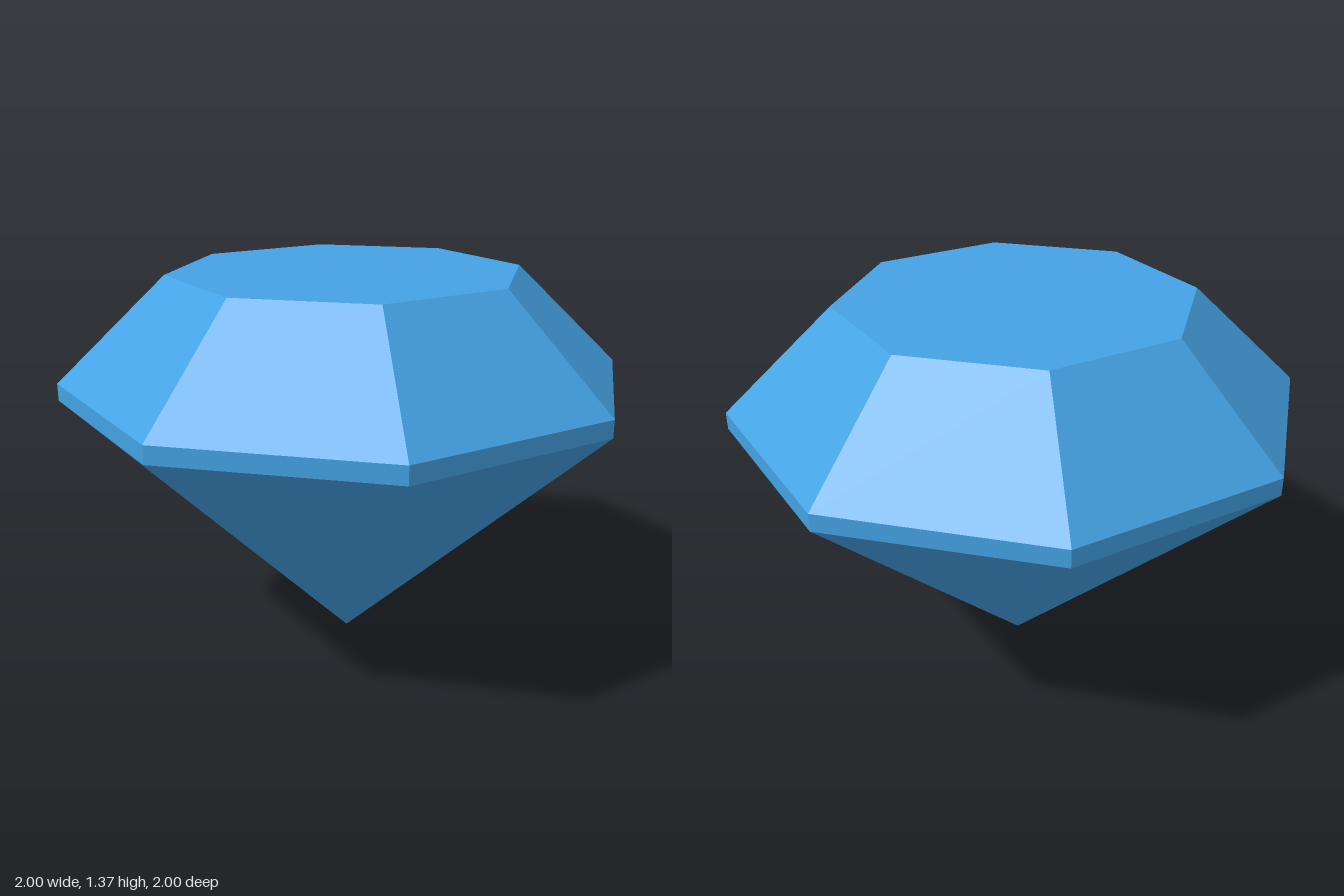
import * as THREE from 'three';

const SIDES = 8;

export function createModel() {
  const gem = new THREE.Group();
  gem.name = 'gem';
  const blue = new THREE.MeshStandardMaterial({ color: 0x44a2e4, flatShading: true });
  blue.name = 'gem blue';

  // One faceted ring between two heights
  function addRing(name, topRadius, bottomRadius, y0, y1) {
    const geometry = new THREE.CylinderGeometry(topRadius, bottomRadius, y1 - y0, SIDES, 1, true);
    geometry.translate(0, (y0 + y1) / 2, 0);
    const mesh = new THREE.Mesh(geometry, blue);
    mesh.name = name;
    gem.add(mesh);
  }

  addRing('pavilion', 1, 0, 0, 0.95); // pointed lower part
  addRing('girdle', 1, 1, 0.95, 1.01); // narrow upright band
  addRing('crown', 0.62, 1, 1.01, 1.37); // sloping upper facets

  // Flat octagonal top
  const table = new THREE.Mesh(new THREE.CircleGeometry(0.62, SIDES), blue);
  table.name = 'table';
  table.rotation.x = -Math.PI / 2;
  table.position.y = 1.37;
  gem.add(table);

  return gem;
}
